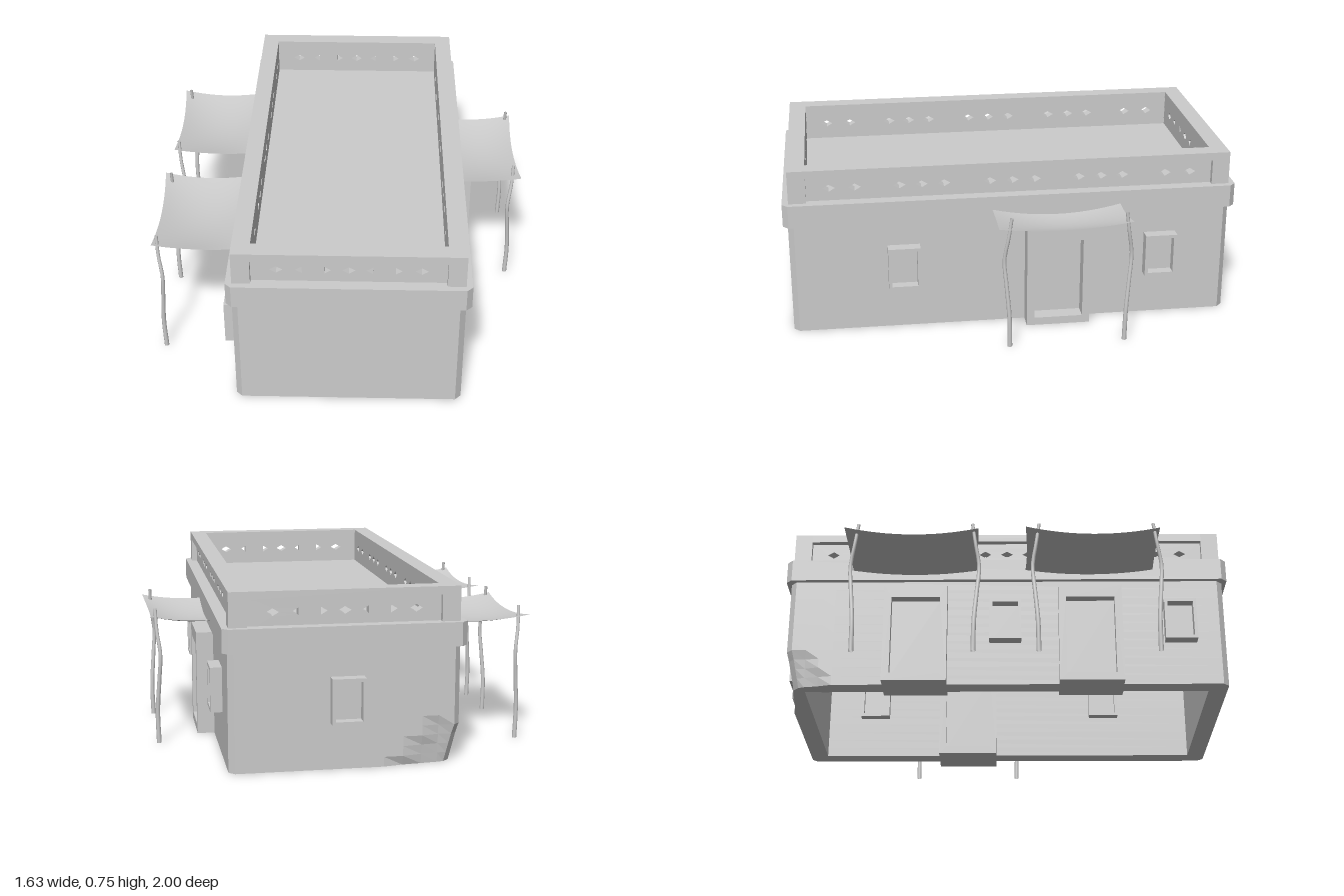
import * as THREE from 'three';

const grey = new THREE.MeshStandardMaterial({ color: 0xcccccc, side: THREE.DoubleSide });
const CX = 0.045, CZ = 0.015; // middle of the building in plan

function add(parent, name, geometry, x = 0, y = 0, z = 0) {
  const mesh = new THREE.Mesh(geometry, grey);
  mesh.name = name;
  mesh.position.set(x, y, z);
  parent.add(mesh);
  return mesh;
}

const points = list => list.map(([x, y]) => new THREE.Vector2(x, y));
const rect = (x0, y0, x1, y1) => points([[x0, y0], [x1, y0], [x1, y1], [x0, y1]]);

// Flat plate with holes, drawn in xy and thickened along z
function plate(outline, holes, depth, steps = 1) {
  const shape = new THREE.Shape(outline);
  shape.holes = holes.map(h => new THREE.Path(h));
  return new THREE.ExtrudeGeometry(shape, { depth, steps, bevelEnabled: false });
}

// Rectangular ring in plan with chamfered corners, standing on y = 0
function ring(w, d, c, innerW, innerD, height) {
  const a = w / 2, b = d / 2;
  const outline = points([[-a, -b + c], [-a + c, -b], [a - c, -b], [a, -b + c],
    [a, b - c], [a - c, b], [-a + c, b], [-a, b - c]]);
  const hole = rect(-innerW / 2, -innerD / 2, innerW / 2, innerD / 2);
  return plate(outline, [hole], height).rotateX(-Math.PI / 2);
}

// Main walls: hollow shell, worn away at the foot of the back right corner
function wallGeometry() {
  const a = 0.48, b = 0.965, c = 0.025;
  const outline = points([[-a, -b + c], [-a + c, -b], [a - c, -b], [a, -b + c], [a, b - c], [a - c, b],
    [-0.16, b], [-0.24, b], [-0.32, b], [-0.39, b], [-a + c, b],
    [-a, b - c], [-a, 0.88], [-a, 0.82], [-a, 0.76]]);
  const g = plate(outline, [rect(-0.4, -0.883, 0.4, 0.883)], 0.5, 12).rotateX(-Math.PI / 2);
  const p = g.attributes.position;
  for (let i = 0; i < p.count; i++) {
    const x = p.getX(i), y = p.getY(i), z = p.getZ(i);
    if (x > -a + 0.001 && z > -b + 0.001) continue;
    const far = Math.max((x + a) / 0.32, (z + b) / 0.2);
    const top = 0.25 * (1 - far) * (0.85 + 0.25 * Math.sin(x * 60 + z * 45));
    if (far >= 1 || y >= top) continue;
    const cut = 0.03 * (1 - y / top) * (1 - far) + 0.008;
    p.setX(i, x + (x < -0.42 ? cut : 0));
    p.setZ(i, z + (z < -0.9 ? cut : 0));
  }
  g.computeVertexNormals();
  return g;
}

// Diamond opening; side -1 or 1 keeps only that half
function diamond(u, side = 0) {
  const l = side > 0 ? 0 : 0.027, r = side < 0 ? 0 : 0.027, y = 0.655, h = 0.016;
  return points([[u - l, y], [u, y - h], [u + r, y], [u, y + h]]);
}

// Parapet side facing +z: pierced panel set back inside a raised border
function parapetSide(name, length, innerLength, holes) {
  const g = new THREE.Group();
  g.name = name;
  const a = length / 2, i = innerLength / 2;
  add(g, 'piercedPanel', plate(rect(-i, 0.58, i, 0.72), holes, 0.05), 0, 0, -0.075);
  add(g, 'topRail', new THREE.BoxGeometry(length - 0.15, 0.035, 0.075), 0, 0.7275, -0.0375);
  // Corner posts come once per side
  add(g, 'cornerPost', new THREE.BoxGeometry(0.076, 0.165, 0.076), a - 0.038, 0.6625, -0.038);
  return g;
}

// Framed opening facing +z, passing through the wall; z = 0 is the outer wall face
function framed(name, w, h, side, sill, head, out) {
  const g = new THREE.Group();
  g.name = name;
  const inner = rect(-w / 2 + side, sill, w / 2 - side, h - head);
  add(g, 'frame', plate(rect(-w / 2, 0, w / 2, h), [inner], out + 0.12), 0, 0, -0.12);
  add(g, 'pane', new THREE.BoxGeometry(w - side * 2, h - sill - head, 0.098), 0, (h + sill - head) / 2, -0.042);
  return g;
}

// Crooked pole with a slight taper
function poleGeometry(x, z, bend) {
  const path = new THREE.CatmullRomCurve3([[0, 0, 0], [0.003, 0.14, 0.1], [-0.006, 0.28, 0.6],
    [-0.013, 0.4, 1], [0, 0.5, 0.3], [0.004, 0.595, -0.3]]
    .map(([dx, y, k]) => new THREE.Vector3(x + dx, y, z + k * bend)));
  const g = new THREE.TubeGeometry(path, 16, 0.0095, 8);
  const p = g.attributes.position, v = new THREE.Vector3();
  for (let i = 0; i < p.count; i++) {
    v.fromBufferAttribute(p, i);
    const c = path.getPointAt(Math.floor(i / 9) / 16);
    v.sub(c).multiplyScalar(1.1 - 0.6 * c.y).add(c);
    p.setXYZ(i, v.x, v.y, v.z);
  }
  return g;
}

// Sagging cloth on two poles, reaching out along +x from the wall
function awning(name) {
  const g = new THREE.Group();
  g.name = name;
  const cloth = new THREE.PlaneGeometry(1, 1, 14, 16).rotateX(-Math.PI / 2);
  const p = cloth.attributes.position;
  for (let i = 0; i < p.count; i++) {
    const u = p.getX(i) + 0.5, v = p.getZ(i) * 2;
    const hang = 1 - v * v;
    const x = 0.44 + u * (0.37 + 0.006 * v - 0.012 * hang);
    const y = 0.55 + 0.013 * u * u - hang * (0.02 + 0.06 * u * (1 - u) + 0.006 * u) - 0.05 * u * (1 - u);
    p.setXYZ(i, x, y, v * 0.285 - 0.006 * v * Math.sin(u * Math.PI));
  }
  cloth.computeVertexNormals();
  add(g, 'cloth', cloth);
  add(g, 'pole', poleGeometry(0.778, 0.235, 0.022));
  add(g, 'pole', poleGeometry(0.778, -0.265, -0.022));
  return g;
}

export function createModel() {
  const model = new THREE.Group();
  model.name = 'flatRoofedHouse';

  // Body
  add(model, 'walls', wallGeometry(), CX, 0, CZ);
  add(model, 'corniceBand', ring(1.005, 1.97, 0.025, 0.8, 1.766, 0.1), CX, 0.5, CZ);
  add(model, 'roof', new THREE.BoxGeometry(0.82, 0.085, 1.78), CX, 0.54, CZ);

  // Parapet
  const shortHoles = [diamond(-0.295), diamond(-0.19, -1), diamond(-0.098, 1), diamond(0),
    diamond(0.098, -1), diamond(0.19, 1), diamond(0.295)];
  const longHoles = [-0.785, -0.675, -0.485, -0.39, -0.293, -0.095, 0.003, 0.1,
    0.293, 0.39, 0.485, 0.675, 0.785].map(u => diamond(u));
  for (let k = 0; k < 4; k++) {
    const long = k % 2 === 1;
    const side = parapetSide(['front', 'left', 'back', 'right'][k] + 'Parapet',
      long ? 1.915 : 0.95, long ? 1.765 : 0.8, long ? longHoles : shortHoles);
    const angle = k * Math.PI / 2, reach = long ? 0.475 : 0.9575;
    side.rotation.y = angle;
    side.position.set(CX + Math.sin(angle) * reach, 0, CZ + Math.cos(angle) * reach);
    model.add(side);
  }

  // Windows and doors
  const place = (part, x, y, z, angle) => {
    part.position.set(x, y, z);
    part.rotation.y = angle;
    model.add(part);
  };
  const L = Math.PI / 2, R = -Math.PI / 2;
  const windowFrame = () => framed('window', 0.14, 0.192, 0.014, 0.014, 0.014, 0.05);
  for (const z of [0.49, -0.64]) place(windowFrame(), 0.525, 0.197, z, L);
  for (const z of [0.01, 0.78]) place(windowFrame(), -0.435, 0.197, z, R);
  place(windowFrame(), 0.04, 0.197, -0.95, Math.PI);
  place(framed('leftDoor', 0.28, 0.46, 0.033, 0.035, 0.06, 0.075), 0.525, 0, -0.18, L);
  for (const z of [-0.385, 0.385])
    place(framed('rightDoor', 0.28, 0.46, 0.033, 0.035, 0.06, 0.05), -0.435, 0, z, R);

  // Awnings
  place(awning('leftAwning'), 0, 0, -0.175, 0);
  for (const z of [-0.385, 0.385]) place(awning('rightAwning'), 0, 0, z, Math.PI);

  return model;
}
